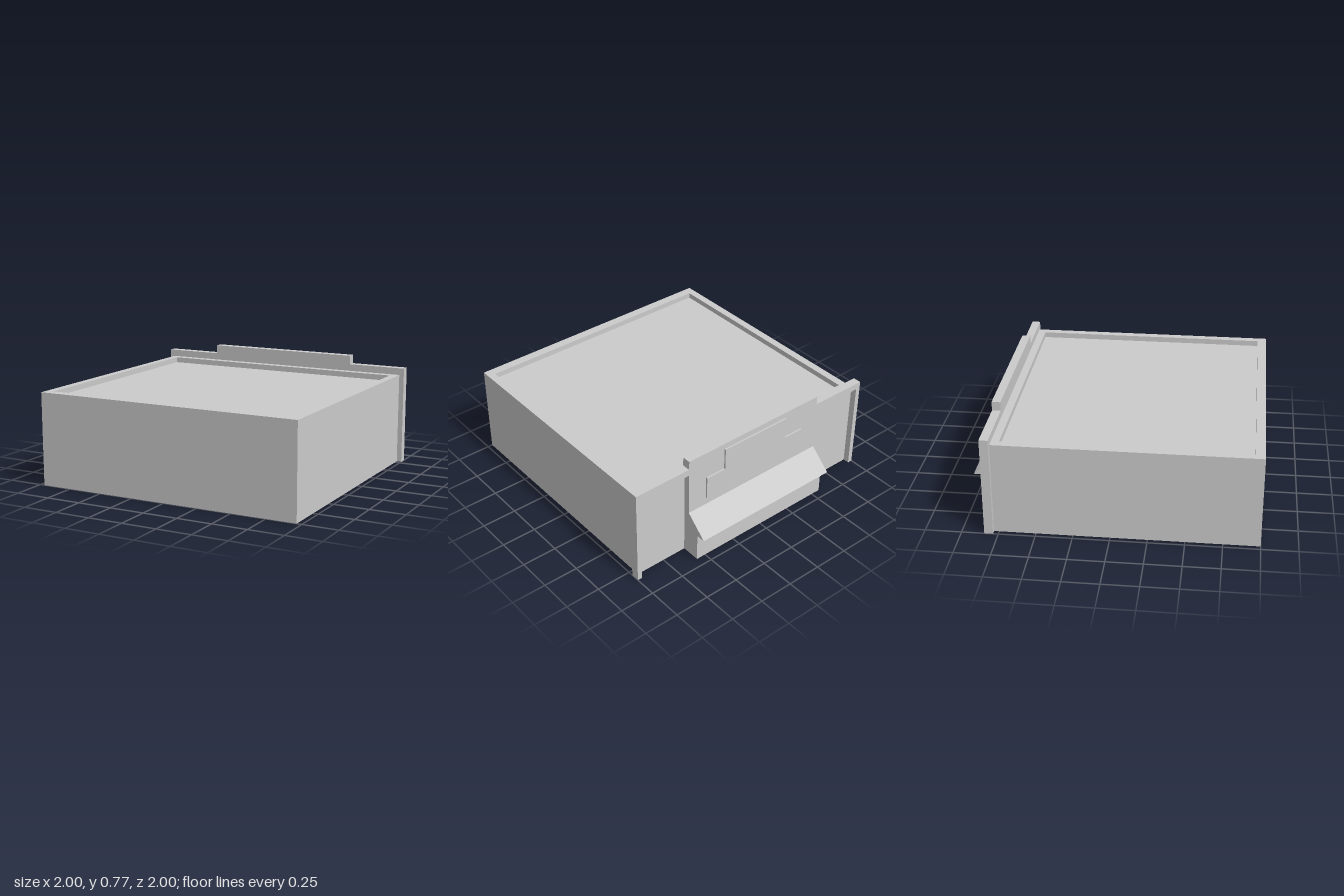
import * as THREE from 'three';

const grey = new THREE.MeshStandardMaterial({ color: 0xcccccc, flatShading: true });
const greyThin = new THREE.MeshStandardMaterial({ color: 0xcccccc, flatShading: true, side: THREE.DoubleSide });

const WALL_Z = -0.785; // back wall of the hall
const FACE_Z = -0.845; // outer face of the facade

function shapeOf(points) {
  return new THREE.Shape(points.map(([x, y]) => new THREE.Vector2(x, y)));
}

// Outline in x,y extruded from zMin to zMax
function slab(name, points, zMin, zMax) {
  const geo = new THREE.ExtrudeGeometry(shapeOf(points), { depth: zMax - zMin, bevelEnabled: false });
  geo.translate(0, 0, zMin);
  const mesh = new THREE.Mesh(geo, grey);
  mesh.name = name;
  return mesh;
}

function block(name, x0, x1, y0, y1, z0, z1) {
  const geo = new THREE.BoxGeometry(x1 - x0, y1 - y0, z1 - z0);
  geo.translate((x0 + x1) / 2, (y0 + y1) / 2, (z0 + z1) / 2);
  const mesh = new THREE.Mesh(geo, grey);
  mesh.name = name;
  return mesh;
}

// Rectangular rings joined into a shell; the last ring is capped
function ringShell(rings) {
  const loops = rings.map(({ x, z0, z1, y }) => [[-x, y, z1], [x, y, z1], [x, y, z0], [-x, y, z0]]);
  const pos = [];
  const quad = (a, b, c, d) => pos.push(...a, ...b, ...c, ...a, ...c, ...d);
  for (let r = 0; r < loops.length - 1; r++) {
    for (let i = 0; i < 4; i++) {
      const j = (i + 1) % 4;
      quad(loops[r][i], loops[r][j], loops[r + 1][j], loops[r + 1][i]);
    }
  }
  quad(...loops[loops.length - 1]);
  const geo = new THREE.BufferGeometry();
  geo.setAttribute('position', new THREE.Float32BufferAttribute(pos, 3));
  geo.computeVertexNormals();
  return geo;
}

export function createModel() {
  const model = new THREE.Group();
  model.name = 'shopBuilding';

  // Hall: open underneath, with a parapet around a sunken roof
  const outer = { x: 0.965, z0: WALL_Z, z1: 1 };
  const inner = { x: 0.91, z0: -0.73, z1: 0.935 };
  const hall = new THREE.Mesh(ringShell([
    { ...outer, y: 0 }, { ...outer, y: 0.658 },
    { ...inner, y: 0.658 }, { ...inner, y: 0.618 },
  ]), greyThin);
  hall.name = 'hallWallsAndRoof';
  model.add(hall);

  // Facade frame: raised centre, slim end posts and top bands over the side bays
  const half = [
    [0.57, 0], [0.57, 0.66], [0.965, 0.66], [0.965, 0],
    [1, 0], [1, 0.708], [0.57, 0.708], [0.57, 0.772],
  ];
  const mirrored = half.map(([x, y]) => [-x, y]).reverse();
  model.add(slab('facadeFrame', [...half, ...mirrored], FACE_Z, WALL_Z));

  // Recessed panels in the side bays
  for (const s of [-1, 1]) {
    const [a, b] = [0.57 * s, 0.965 * s].sort((p, q) => p - q);
    model.add(block(s > 0 ? 'leftBayPanel' : 'rightBayPanel', a, b, 0, 0.66, -0.8, WALL_Z));
  }

  // Blank stepped sign board
  model.add(slab('signBoard', [
    [-0.425, 0.405], [0.425, 0.405], [0.425, 0.57], [0.27, 0.57],
    [0.27, 0.73], [-0.27, 0.73], [-0.27, 0.57], [-0.425, 0.57],
  ], -0.857, FACE_Z));

  // Entrance block under the awning
  model.add(block('entranceBlock', -0.57, 0.57, 0, 0.205, -0.935, FACE_Z));

  // Sloping awning: wedge profile extruded along x
  const wedge = new THREE.ExtrudeGeometry(
    shapeOf([[-FACE_Z, 0.205], [1, 0.205], [-FACE_Z, 0.345]]),
    { depth: 1.14, bevelEnabled: false },
  );
  wedge.translate(0, 0, -0.57);
  wedge.rotateY(Math.PI / 2); // profile axis now runs towards -z
  const awning = new THREE.Mesh(wedge, grey);
  awning.name = 'awning';
  model.add(awning);

  return model;
}
